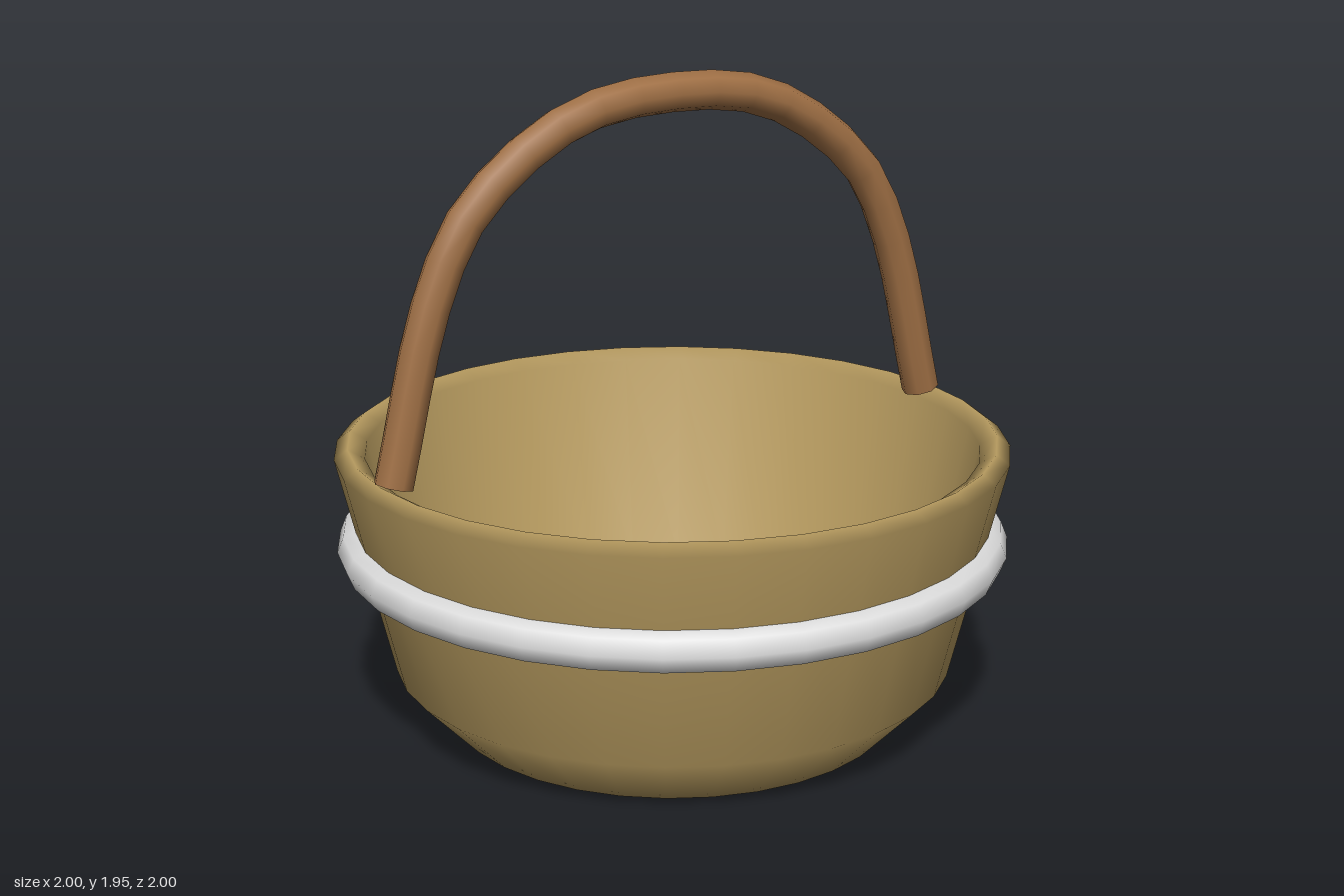
import * as THREE from 'three';

const v2 = (x, y) => new THREE.Vector2(x, y);

export function createModel() {
  const wicker = new THREE.MeshStandardMaterial({ name: 'wicker tan', color: 0xb89c60 });
  const white = new THREE.MeshStandardMaterial({ name: 'band white', color: 0xdedede });
  const wood = new THREE.MeshStandardMaterial({ name: 'handle brown', color: 0xa07045 });

  const model = new THREE.Group();
  model.name = 'basket';
  const add = (name, geometry, material, parent = model) => {
    const mesh = new THREE.Mesh(geometry, material);
    mesh.name = name;
    parent.add(mesh);
    return mesh;
  };

  // Bowl: outer wall, rim and hollow inside in one smooth profile
  const profile = [
    v2(0, 0), v2(0.67, 0), v2(0.835, 0.17), v2(1, 0.84), v2(0.96, 0.87),
    v2(0.91, 0.84), v2(0.77, 0.2), v2(0.62, 0.07), v2(0, 0.07),
  ];
  add('bowl', new THREE.LatheGeometry(profile, 32), wicker);

  // Band around the bowl
  const band = new THREE.TorusGeometry(0.935, 0.065, 8, 32).rotateX(Math.PI / 2);
  add('band', band, white).position.y = 0.555;

  // Arched handle, mirrored about its top
  const side = [[0.92, 0.868], [0.785, 1.38], [0.655, 1.62], [0.34, 1.84]];
  const path = [
    ...side.map(([x, y]) => new THREE.Vector3(-x, y, 0)),
    new THREE.Vector3(0, 1.89, 0),
    ...side.map(([x, y]) => new THREE.Vector3(x, y, 0)).reverse(),
  ];
  const curve = new THREE.CatmullRomCurve3(path);
  const handle = new THREE.Group();
  handle.name = 'handle';
  model.add(handle);
  add('handleArch', new THREE.TubeGeometry(curve, 24, 0.058, 8), wood, handle);

  // Flat ends of the handle
  for (const t of [0, 1]) {
    const end = add('handleEnd', new THREE.CircleGeometry(0.058, 8), wood, handle);
    const outward = curve.getTangentAt(t).multiplyScalar(t ? 1 : -1);
    end.position.copy(curve.getPointAt(t));
    end.quaternion.setFromUnitVectors(new THREE.Vector3(0, 0, 1), outward);
  }
  return model;
}
